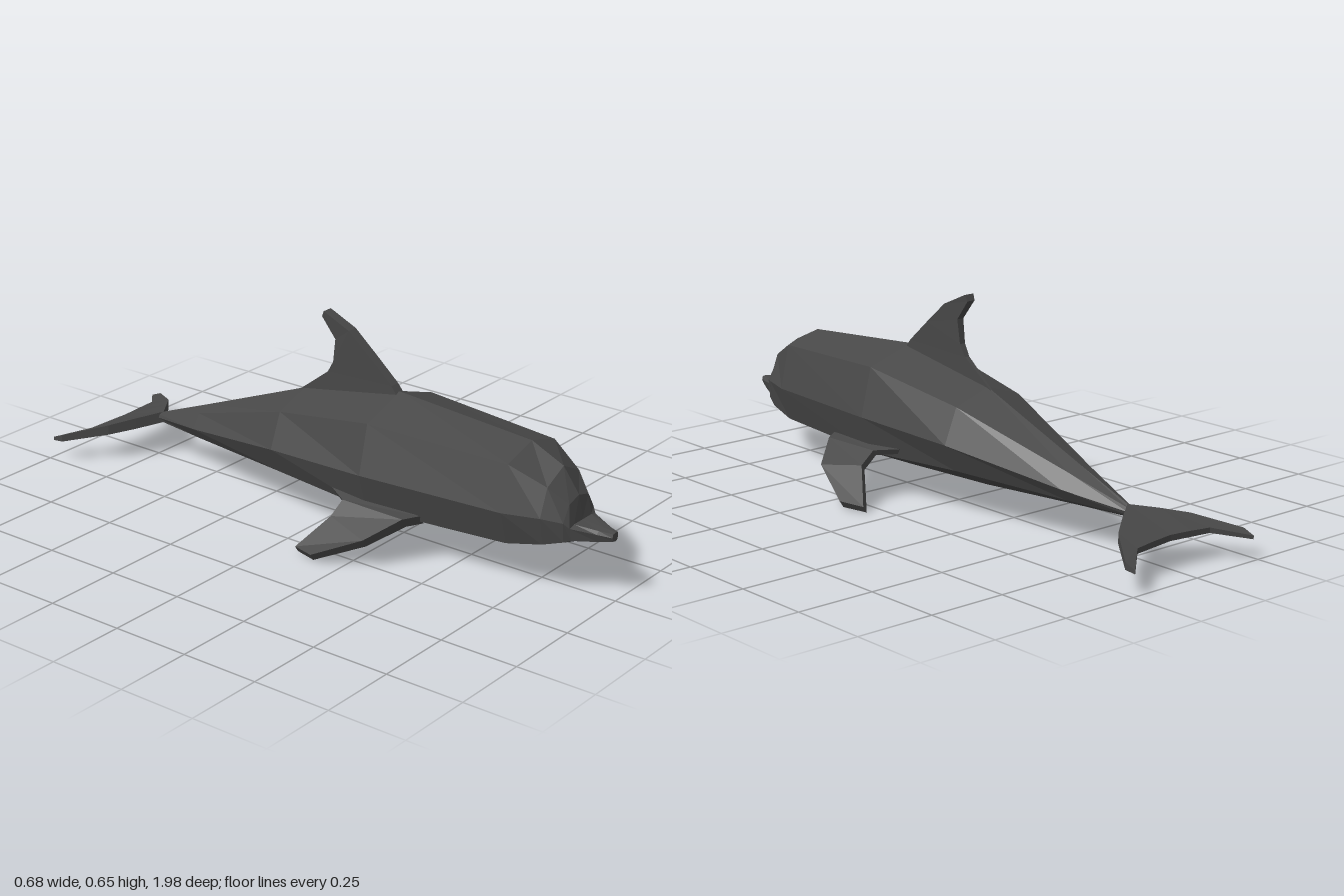
import * as THREE from 'three';

const material = new THREE.MeshStandardMaterial({ color: 0x484848, flatShading: true });
const V = (x, y, z) => new THREE.Vector3(x, y, z);

// Skins a list of closed rings, caps both ends, and faces the result outwards.
function loft(name, rings) {
  const n = rings[0].length;
  const tris = [];
  for (let i = 0; i < rings.length - 1; i++) {
    for (let j = 0; j < n; j++) {
      const k = (j + 1) % n;
      const a = rings[i][j], b = rings[i][k], c = rings[i + 1][k], d = rings[i + 1][j];
      tris.push([a, b, c], [a, c, d]);
    }
  }
  const first = rings[0], last = rings[rings.length - 1];
  for (let j = 1; j < n - 1; j++) {
    tris.push([first[0], first[j + 1], first[j]], [last[0], last[j], last[j + 1]]);
  }
  let volume = 0;
  for (const [a, b, c] of tris) volume += a.dot(b.clone().cross(c));
  const points = tris.flatMap(([a, b, c]) => (volume < 0 ? [a, c, b] : [a, b, c]));
  const geometry = new THREE.BufferGeometry().setFromPoints(points);
  geometry.computeVertexNormals();
  const mesh = new THREE.Mesh(geometry, material);
  mesh.name = name;
  return mesh;
}

// Four-cornered section of a fin: leading and trailing point, each thickened along dir.
function slab(lead, trail, dir, leadHalf, trailHalf) {
  const off = (p, s) => p.clone().addScaledVector(dir, s);
  return [off(lead, leadHalf), off(trail, trailHalf), off(trail, -trailHalf), off(lead, -leadHalf)];
}

export function createModel() {
  const model = new THREE.Group();
  model.name = 'dolphin';

  // Body stations: z, top y, shoulder x y, flank x y, lower x y, belly y
  const stations = [
    [0.99, 0.218, 0.012, 0.216, 0.015, 0.205, 0.01, 0.193, 0.19],
    [0.95, 0.222, 0.025, 0.22, 0.036, 0.212, 0.028, 0.187, 0.18],
    [0.88, 0.228, 0.045, 0.228, 0.068, 0.222, 0.06, 0.182, 0.162],
    [0.865, 0.3, 0.05, 0.287, 0.08, 0.238, 0.075, 0.178, 0.157],
    [0.81, 0.375, 0.082, 0.335, 0.115, 0.25, 0.1, 0.165, 0.142],
    [0.7, 0.425, 0.12, 0.39, 0.151, 0.25, 0.12, 0.145, 0.115],
    [0.23, 0.46, 0.16, 0.408, 0.198, 0.255, 0.165, 0.14, 0.071],
    [-0.13, 0.387, 0.125, 0.345, 0.17, 0.235, 0.13, 0.15, 0.083],
    [-0.53, 0.232, 0.045, 0.215, 0.075, 0.17, 0.05, 0.133, 0.109],
    [-0.74, 0.152, 0.008, 0.148, 0.012, 0.138, 0.008, 0.127, 0.121],
  ];
  model.add(loft('body', stations.map(([z, top, sx, sy, fx, fy, lx, ly, belly]) => [
    V(0, top, z), V(sx, sy, z), V(fx, fy, z), V(lx, ly, z),
    V(0, belly, z), V(-lx, ly, z), V(-fx, fy, z), V(-sx, sy, z),
  ])));

  // Dorsal fin: leading z y, trailing z y, trailing half thickness
  const dorsal = [
    [0.24, 0.44, -0.16, 0.37, 0.003],
    [0.21, 0.477, -0.037, 0.463, 0.008],
    [0.13, 0.547, -0.015, 0.5, 0.01],
    [0.05, 0.615, -0.005, 0.575, 0.012],
    [-0.045, 0.657, -0.054, 0.638, 0.014],
  ];
  model.add(loft('dorsalFin', dorsal.map(([lz, ly, tz, ty, half]) =>
    slab(V(0, ly, lz), V(0, ty, tz), V(1, 0, 0), 0.017, half))));

  // Pectoral flippers, mirrored
  for (const [side, name] of [[1, 'leftFlipper'], [-1, 'rightFlipper']]) {
    const dir = V(side * 0.55, 0.83, 0);
    model.add(loft(name, [
      slab(V(side * 0.145, 0.148, 0.42), V(side * 0.15, 0.17, 0.08), dir, 0.018, 0.01),
      slab(V(side * 0.19, 0.145, 0.39), V(side * 0.195, 0.155, 0.17), dir, 0.018, 0.01),
      slab(V(side * 0.283, 0.092, 0.315), V(side * 0.245, 0.118, 0.165), dir, 0.015, 0.01),
      slab(V(side * 0.334, 0.021, 0.16), V(side * 0.307, 0.016, 0.08), dir, 0.013, 0.012),
    ]));
  }

  // Tail flukes, one swept slab from tip to tip: x, leading z, trailing z, half thickness
  const halfFluke = [
    [0.237, -0.955, -0.993, 0.011],
    [0.145, -0.835, -0.91, 0.016],
    [0.075, -0.78, -0.902, 0.018],
  ];
  const fluke = [
    ...halfFluke,
    [0, -0.725, -0.895, 0.018],
    ...halfFluke.map(([x, ...rest]) => [-x, ...rest]).reverse(),
  ];
  const slope = (z) => 0.138 + 0.25 * (z + 0.73);
  model.add(loft('tailFlukes', fluke.map(([x, lz, tz, half]) =>
    slab(V(x, slope(lz), lz), V(x, slope(tz), tz), V(0, 1, 0), half, half * 0.5))));

  return model;
}
